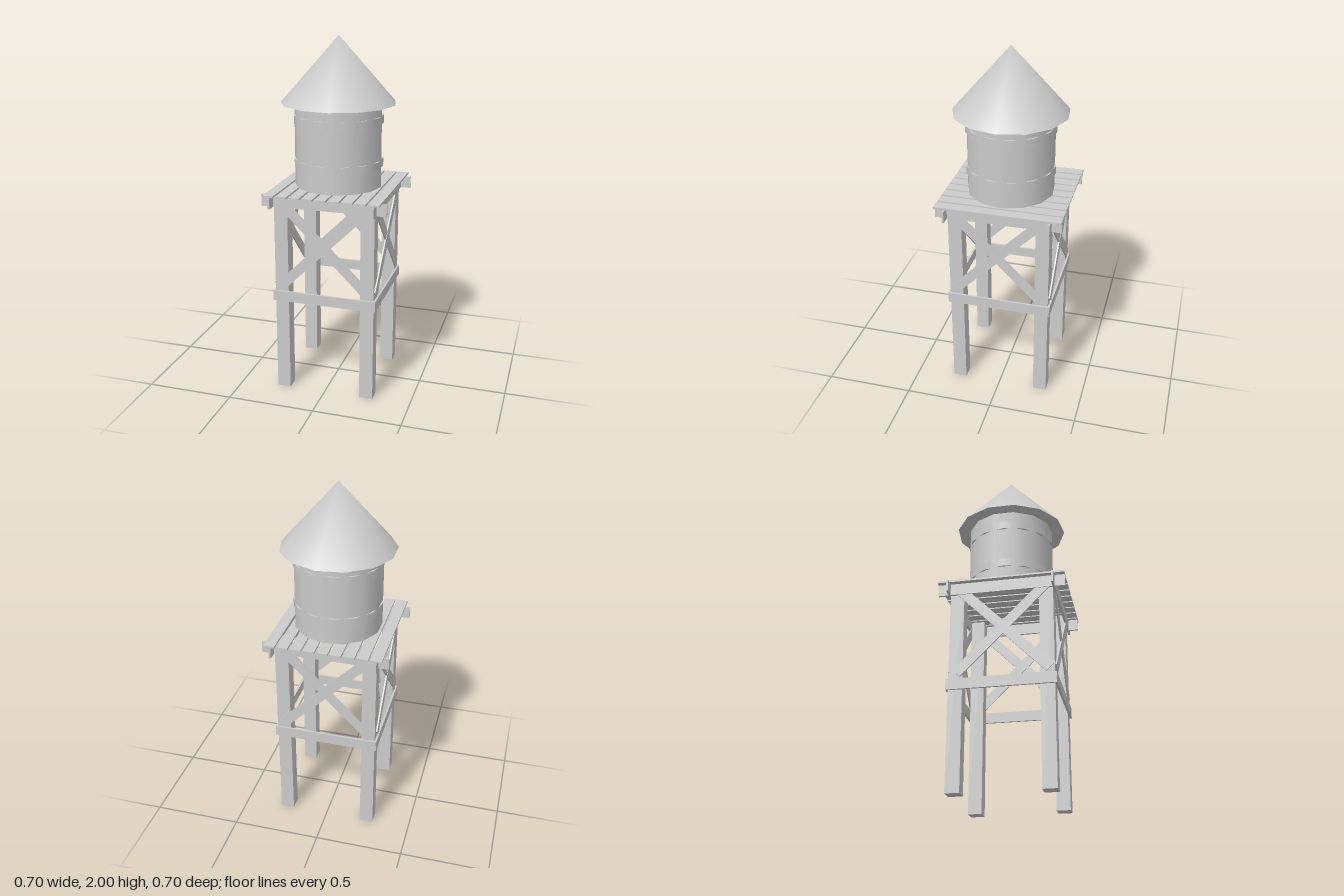
import * as THREE from 'three';
import { mergeVertices } from 'three/addons/utils/BufferGeometryUtils.js';

const SIDES = 13;
const material = new THREE.MeshStandardMaterial({ color: 0xcccccc });

function add(parent, name, geometry, x = 0, y = 0, z = 0) {
  const mesh = new THREE.Mesh(geometry, material);
  mesh.name = name;
  mesh.position.set(x, y, z);
  parent.add(mesh);
  return mesh;
}

const box = (w, h, d) => new THREE.BoxGeometry(w, h, d);

// Cylinder with its first corner on +x, turned further by `turn`
const drum = (radius, height, turn = 0) =>
  new THREE.CylinderGeometry(radius, radius, height, SIDES).rotateY(Math.PI / 2 + turn);

// Beams and crossed braces for one side of the tower, facing +z
function makeSide(name, braceShift) {
  const side = new THREE.Group();
  side.name = name;
  add(side, 'deckBeam', box(0.704, 0.066, 0.012), 0, 1.132, 0.29);
  add(side, 'lowerBeam', box(0.588, 0.06, 0.012), 0, 0.575, 0.29);
  for (const s of [-1, 1]) {
    const brace = add(side, 'crossBrace', box(0.71, 0.056, 0.008), braceShift, 0.885, 0.288 + s * 0.0008);
    brace.rotation.z = s * Math.PI / 4;
  }
  return side;
}

export function createModel() {
  const tower = new THREE.Group();
  tower.name = 'waterTower';

  // Four square legs
  for (const x of [-1, 1]) {
    for (const z of [-1, 1]) {
      add(tower, 'leg', box(0.077, 1.165, 0.077), x * 0.246, 0.5825, z * 0.246);
    }
  }

  // Beams and braces on all four sides
  ['frontFrame', 'leftFrame', 'backFrame', 'rightFrame'].forEach((name, i) => {
    const shift = [0, -0.01, 0, 0.01][i];
    const side = makeSide(name, shift);
    side.rotation.y = i * Math.PI / 2;
    tower.add(side);
  });

  // Deck planks running front to back
  const deck = new THREE.Group();
  deck.name = 'deck';
  for (let i = -4; i <= 4; i++) {
    add(deck, 'plank', box(0.062, 0.01, 0.704), i * 0.0735, 1.17, 0);
  }
  tower.add(deck);

  // Tank, with hoops turned half a side so only parts stand proud
  add(tower, 'tank', drum(0.245, 0.465), 0, 1.4075, 0);
  for (const y of [1.305, 1.55]) {
    add(tower, 'hoop', drum(0.249, 0.046, Math.PI / SIDES), 0, y, 0);
  }

  // Conical roof, smooth over the tip
  let cone = new THREE.ConeGeometry(0.32, 0.364, SIDES, 1, true).rotateY(Math.PI / 2);
  cone.deleteAttribute('uv');
  cone.deleteAttribute('normal');
  cone = mergeVertices(cone);
  cone.computeVertexNormals();
  add(tower, 'roof', cone, 0, 1.818, 0);
  add(tower, 'roofUnderside', new THREE.CircleGeometry(0.32, SIDES).rotateX(Math.PI / 2), 0, 1.636, 0);

  return tower;
}
